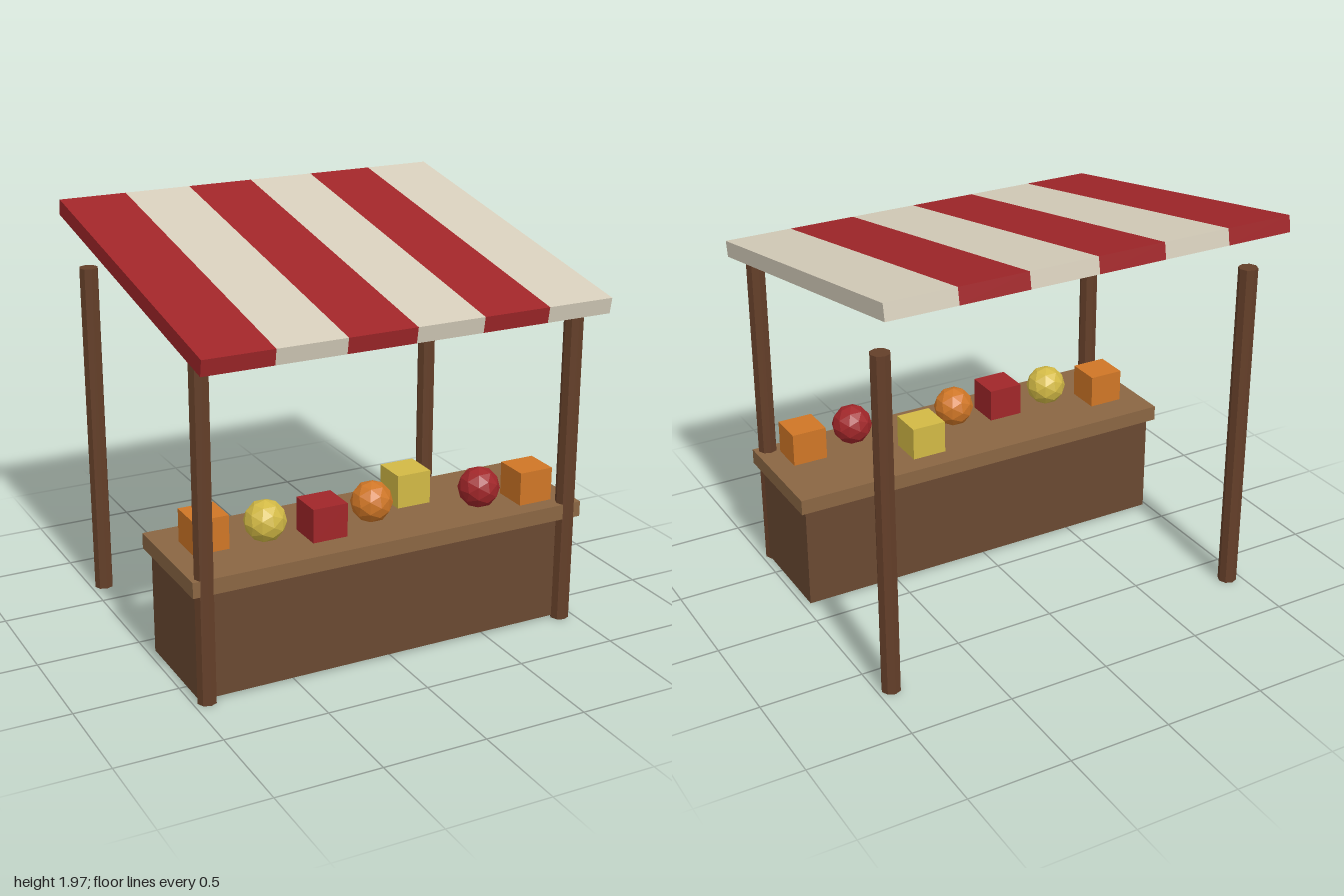
import * as THREE from 'three';

const paint = (name, color, flatShading = false) => {
  const m = new THREE.MeshStandardMaterial({ color, flatShading });
  m.name = name;
  return m;
};

export function createModel() {
  const red = paint('red', 0xa02629, true);
  const cream = paint('cream', 0xd6cebb, true);
  const orange = paint('orange', 0xcf7626, true);
  const yellow = paint('yellow', 0xd2b945, true);
  const postWood = paint('postWood', 0x643f29, true);
  const bodyWood = paint('bodyWood', 0x694831, true);
  const topWood = paint('topWood', 0x8a6643, true);

  const model = new THREE.Group();
  model.name = 'marketStall';
  const add = (parent, name, geometry, material, x, y, z) => {
    const mesh = new THREE.Mesh(geometry, material);
    mesh.name = name;
    mesh.position.set(x, y, z);
    parent.add(mesh);
    return mesh;
  };

  // Counter: closed body under an overhanging top
  add(model, 'counterBody', new THREE.BoxGeometry(1.94, 0.52, 0.53), bodyWood, 0, 0.273, 0.4);
  add(model, 'counterTop', new THREE.BoxGeometry(2, 0.075, 0.595), topWood, 0, 0.568, 0.402);

  // Four eight-sided posts
  const postHeight = 1.667;
  const postGeometry = new THREE.CylinderGeometry(0.046, 0.046, postHeight, 8);
  for (const x of [-0.934, 0.934]) {
    for (const z of [-0.666, 0.666]) {
      add(model, z > 0 ? 'frontPost' : 'backPost', postGeometry, postWood, x, postHeight / 2, z);
    }
  }

  // Sloping awning of six striped slabs, lower at the front
  const awning = new THREE.Group();
  awning.name = 'awning';
  awning.position.y = 1.772;
  awning.rotation.x = 0.18;
  model.add(awning);
  const stripeWidth = 2 / 6;
  const stripeGeometry = new THREE.BoxGeometry(stripeWidth, 0.077, 1.733);
  for (let i = 0; i < 6; i++) {
    add(awning, 'awningStripe', stripeGeometry, i % 2 ? cream : red, -1 + stripeWidth * (i + 0.5), 0, 0);
  }

  // Goods in a row: crates alternating with round fruit, [colour, z]
  const crate = new THREE.BoxGeometry(0.174, 0.174, 0.174);
  const fruit = new THREE.IcosahedronGeometry(0.1, 1);
  const goods = [
    [orange, 0.356], [yellow, 0.435], [red, 0.475], [orange, 0.455],
    [yellow, 0.297], [red, 0.53], [orange, 0.528],
  ];
  goods.forEach(([material, z], i) => {
    const x = (i - 3) * 0.267;
    if (i % 2) add(model, 'fruit', fruit, material, x, 0.705, z);
    else add(model, 'crate', crate, material, x, 0.682, z);
  });

  return model;
}
